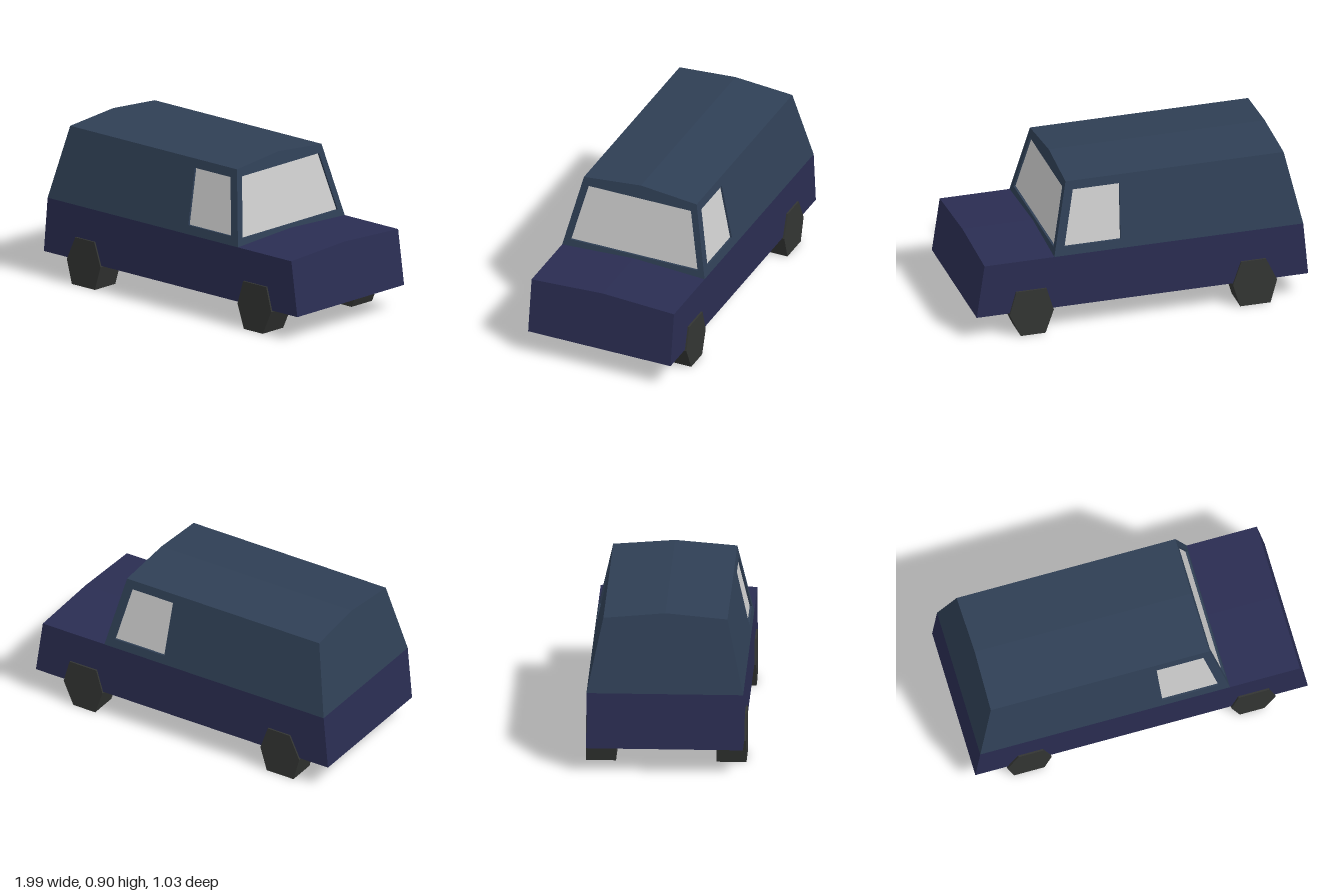
import * as THREE from 'three';

const paint = (color) => new THREE.MeshStandardMaterial({ color, flatShading: true, side: THREE.DoubleSide });
const upperPaint = paint(0x2f3f55), lowerPaint = paint(0x2a2d52);
const glassMat = paint(0xcccccc), tyreMat = paint(0x333533);

// Main heights and half widths; the car's length runs along x
const BASE = 0.145, BELT = 0.46, EAVE = 0.875, RIDGE = 0.905;
const WIDE = 0.437, NARROW = 0.346, CREST = 0.48;

// Straight line through (a0, b0) and (a1, b1)
const line = (a0, b0, a1, b1) => (a) => b0 + (b1 - b0) * (a - a0) / (a1 - a0);
const sideAt = line(BELT, WIDE, EAVE, NARROW);
const screenAt = line(BELT, 0.512, EAVE, 0.42);
const tailAt = line(BELT, -0.935, EAVE, -0.848);
const skirtTailAt = line(BASE, -0.9635, BELT, -0.935);
const noseAt = line(BASE, 0.9635, BELT, 0.918);
const hoodAt = line(0, CREST, WIDE, BELT);
const roofAt = line(0, RIDGE, NARROW, EAVE);

function mesh(name, geometry, material) {
  geometry.computeVertexNormals();
  const m = new THREE.Mesh(geometry, material);
  m.name = name;
  return m;
}

// Flat outline (optionally with one opening) laid into space by a rule
function panel(name, outline, place, material, opening) {
  const toPts = (list) => list.map(([a, b]) => new THREE.Vector2(a, b));
  const shape = new THREE.Shape(toPts(outline));
  if (opening) shape.holes.push(new THREE.Path(toPts(opening)));
  const geometry = new THREE.ShapeGeometry(shape);
  const p = geometry.attributes.position;
  for (let i = 0; i < p.count; i++) p.setXYZ(i, ...place(p.getX(i), p.getY(i), 0));
  return mesh(name, geometry, material);
}

// Recessed pane with the narrow reveal around it
function windowPane(name, corners, place, depth = 0.012) {
  const group = new THREE.Group();
  group.name = name;
  const inner = (a, b) => place(a, b, depth);
  group.add(panel('glass', corners, inner, glassMat));
  const pos = [], index = [];
  corners.forEach(([a, b], i) => {
    pos.push(...place(a, b, 0), ...inner(a, b));
    const k = 2 * i, n = (k + 2) % (2 * corners.length);
    index.push(k, n, k + 1, n, n + 1, k + 1);
  });
  const reveal = new THREE.BufferGeometry();
  reveal.setAttribute('position', new THREE.Float32BufferAttribute(pos, 3));
  reveal.setIndex(index);
  group.add(mesh('windowFrame', reveal, upperPaint));
  return group;
}

// Six-sided block wheel, slightly uneven
function wheel(name, x, side, turn) {
  const outline = [[-0.064, 0.138], [-0.128, 0], [-0.09, -0.138], [0.086, -0.138], [0.128, 0], [0.08, 0.138]];
  const shape = new THREE.Shape(outline.map(([a, b]) => new THREE.Vector2(a, b)));
  const geometry = new THREE.ExtrudeGeometry(shape, { depth: 0.167, bevelEnabled: false });
  geometry.translate(0, 0, -0.0835);
  geometry.rotateZ(turn);
  const m = mesh(name, geometry, tyreMat);
  m.position.set(x, 0.138, side * 0.3635);
  return m;
}

export function createModel() {
  const car = new THREE.Group();
  car.name = 'car';

  // Cabin sides, lower sides, hood and roof halves, wheels: mirrored
  const sideWindow = [[0.11, 0.825], [0.124, 0.51], [0.45, 0.51], [0.381, 0.825]];
  for (const s of [1, -1]) {
    const onSide = (x, y, d) => [x, y, s * (sideAt(y) - d)];
    car.add(
      panel('cabinSide', [[-0.935, BELT], [0.512, BELT], [0.42, EAVE], [-0.848, EAVE]], onSide, upperPaint, sideWindow),
      windowPane('sideWindow', sideWindow, onSide),
      panel('lowerSide', [[-0.9635, BASE], [0.9635, BASE], [0.918, BELT], [-0.935, BELT]],
        (x, y) => [x, y, s * WIDE], lowerPaint),
      panel('hood', [[screenAt(CREST), 0], [0.512, WIDE], [0.918, WIDE], [noseAt(CREST), 0]],
        (x, z) => [x, hoodAt(z), s * z], lowerPaint),
      panel('roof', [[tailAt(RIDGE), 0], [-0.848, NARROW], [0.42, NARROW], [screenAt(RIDGE), 0]],
        (x, z) => [x, roofAt(z), s * z], upperPaint),
      wheel('rearWheel', -0.652, s, 0),
      wheel('frontWheel', 0.646, s, Math.PI),
    );
  }

  // Windscreen wall
  const screen = [[-0.39, 0.5], [0.39, 0.5], [0.315, 0.83], [-0.315, 0.83]];
  const onScreen = (z, y, d) => [screenAt(y) - d, y, z];
  car.add(
    panel('windscreenSurround', [[-WIDE, BELT], [0, CREST], [WIDE, BELT], [NARROW, EAVE], [0, RIDGE], [-NARROW, EAVE]],
      onScreen, upperPaint, screen),
    windowPane('windscreen', screen, onScreen),
  );

  // Nose and tail
  car.add(
    panel('nose', [[-WIDE, BASE], [WIDE, BASE], [WIDE, BELT], [0, CREST], [-WIDE, BELT]],
      (z, y) => [noseAt(y), y, z], lowerPaint),
    panel('tailUpper', [[-WIDE, BELT], [WIDE, BELT], [NARROW, EAVE], [0, RIDGE], [-NARROW, EAVE]],
      (z, y) => [tailAt(y), y, z], upperPaint),
    panel('tailLower', [[-WIDE, BASE], [WIDE, BASE], [WIDE, BELT], [-WIDE, BELT]],
      (z, y) => [skirtTailAt(y), y, z], lowerPaint),
  );

  // The car stands slightly turned
  car.rotation.y = 0.085;
  const model = new THREE.Group();
  model.name = 'model';
  model.add(car);
  return model;
}
